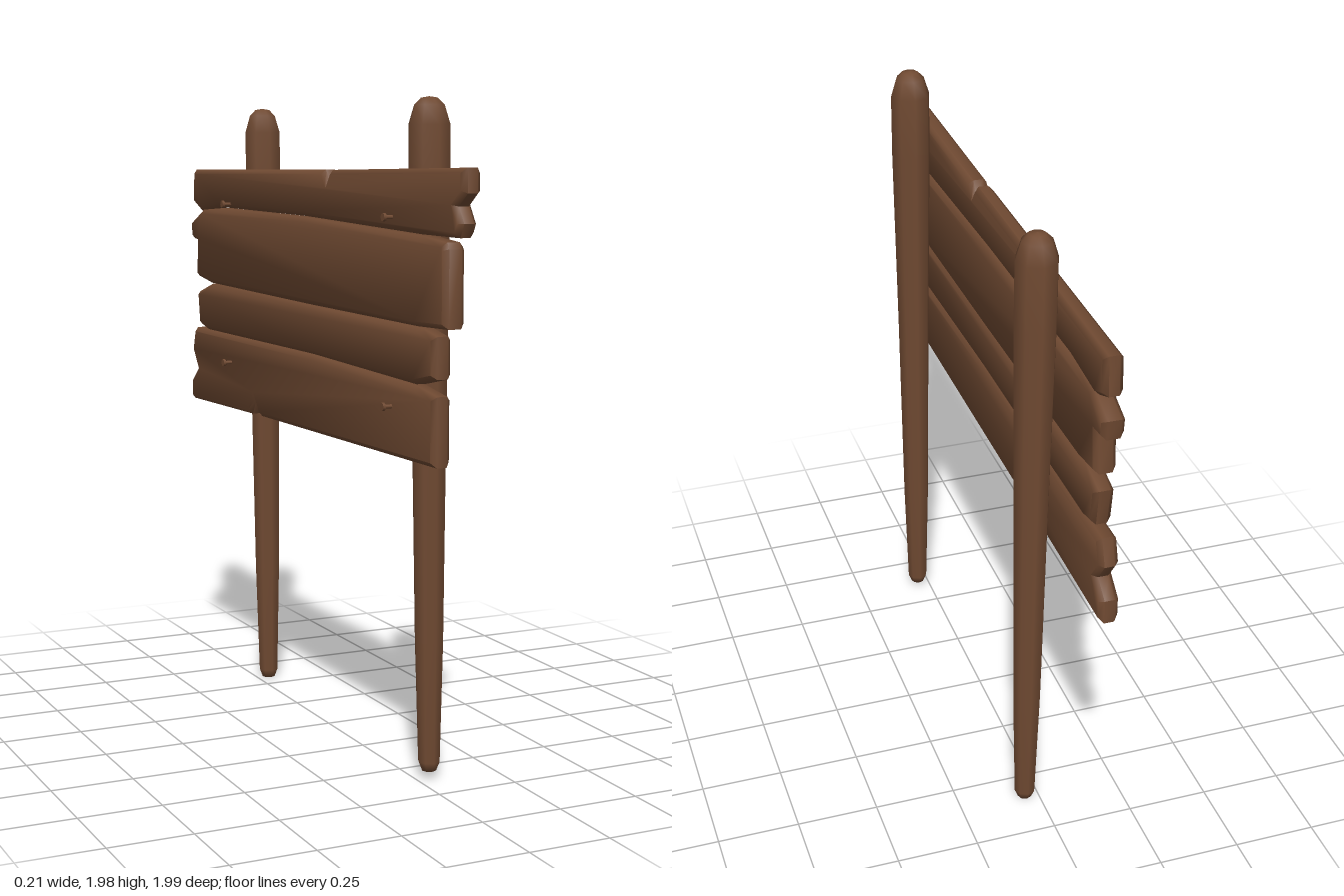
import * as THREE from 'three';
import { mergeVertices, toCreasedNormals } from 'three/addons/utils/BufferGeometryUtils.js';

const wood = new THREE.MeshStandardMaterial({ color: 0x704a32 });
wood.name = 'brown wood';

// Plank outlines as [z, y] pairs, with broken ends and notches
const planks = [
  { name: 'topPlank', thick: 0.058, outline: [
    [0.995, 1.787], [0.17, 1.77], [0.145, 1.735], [0.12, 1.77], [-0.96, 1.755], [-0.967, 1.64],
    [-0.9, 1.612], [-0.72, 1.632], [-0.02, 1.626], [0.75, 1.603], [0.96, 1.602], [0.98, 1.64],
    [0.95, 1.685], [0.998, 1.72]] },
  { name: 'upperMiddlePlank', thick: 0.066, outline: [
    [0.895, 1.588], [0.75, 1.599], [-0.02, 1.622], [-0.72, 1.628], [-0.88, 1.618], [-0.98, 1.575],
    [-0.973, 1.515], [-0.92, 1.51], [-0.93, 1.385], [-0.81, 1.368], [0, 1.356], [0.73, 1.35],
    [0.907, 1.355], [0.907, 1.57]] },
  { name: 'lowerMiddlePlank', thick: 0.06, outline: [
    [0.84, 1.33], [0.755, 1.346], [0, 1.352], [-0.81, 1.364], [-0.93, 1.33], [-0.913, 1.215],
    [-0.85, 1.202], [0.03, 1.203], [0.72, 1.187], [0.84, 1.212]] },
  { name: 'bottomPlank', thick: 0.058, outline: [
    [0.84, 1.165], [0.72, 1.183], [0.03, 1.199], [-0.96, 1.2], [-0.985, 1.12], [-0.94, 1.06],
    [-0.995, 1.015], [-0.995, 0.942], [-0.46, 0.953], [-0.425, 1.01], [-0.38, 0.955], [0.84, 0.968]] },
];

function makePlank({ name, thick, outline }) {
  const bevel = 0.014;
  const shape = new THREE.Shape(outline.map(([z, y]) => new THREE.Vector2(z, y)));
  let geo = new THREE.ExtrudeGeometry(shape, {
    depth: thick - 2 * bevel, bevelEnabled: true, bevelSegments: 1,
    bevelThickness: bevel, bevelSize: bevel, bevelOffset: -bevel,
  });
  geo.translate(0, 0, bevel - thick / 2).rotateY(-Math.PI / 2).translate(-0.05, 0, 0);
  geo.deleteAttribute('normal');
  geo.deleteAttribute('uv');
  geo = toCreasedNormals(mergeVertices(geo, 1e-4), 0.85);
  const mesh = new THREE.Mesh(geo, wood);
  mesh.name = name;
  return mesh;
}

// Tapered log with rounded ends, leaning along z
function makePost(name, bottom, top, zBottom, zTop) {
  const profile = [[0, 0], [0.022, 0.001], [0.033, 0.015], [0.043, 0.2], [0.052, 0.55],
    [0.062, 0.86], [0.062, 0.96], [0.045, 0.988], [0.025, 0.998], [0, 1]];
  const height = top - bottom;
  const geo = new THREE.LatheGeometry(
    profile.map(([r, t]) => new THREE.Vector2(r, bottom + t * height)), 8);
  const p = geo.attributes.position;
  for (let i = 0; i < p.count; i++) {
    const t = (p.getY(i) - bottom) / height;
    p.setX(i, p.getX(i) + 0.042);
    p.setZ(i, p.getZ(i) + zBottom + (zTop - zBottom) * t);
  }
  const mesh = new THREE.Mesh(geo, wood);
  mesh.name = name;
  return mesh;
}

// Nail shaft and flat head, sticking out of the plank face
function makeNail(y, z) {
  const nail = new THREE.Group();
  nail.name = 'nail';
  for (const [part, r, len, x] of [['nailShaft', 0.006, 0.03, -0.088], ['nailHead', 0.012, 0.008, -0.106]]) {
    const mesh = new THREE.Mesh(new THREE.CylinderGeometry(r, r, len, 8).rotateZ(Math.PI / 2), wood);
    mesh.name = part;
    mesh.position.set(x, y, z);
    nail.add(mesh);
  }
  return nail;
}

export function createModel() {
  const model = new THREE.Group();
  model.name = 'woodenSign';
  planks.forEach((plank) => model.add(makePlank(plank)));
  model.add(makePost('frontPost', 0.025, 1.98, 0.606, 0.578));
  model.add(makePost('backPost', 0.003, 1.962, -0.587, -0.62));
  for (const y of [1.645, 1.11]) for (const z of [0.59, -0.615]) model.add(makeNail(y, z));
  return model;
}
